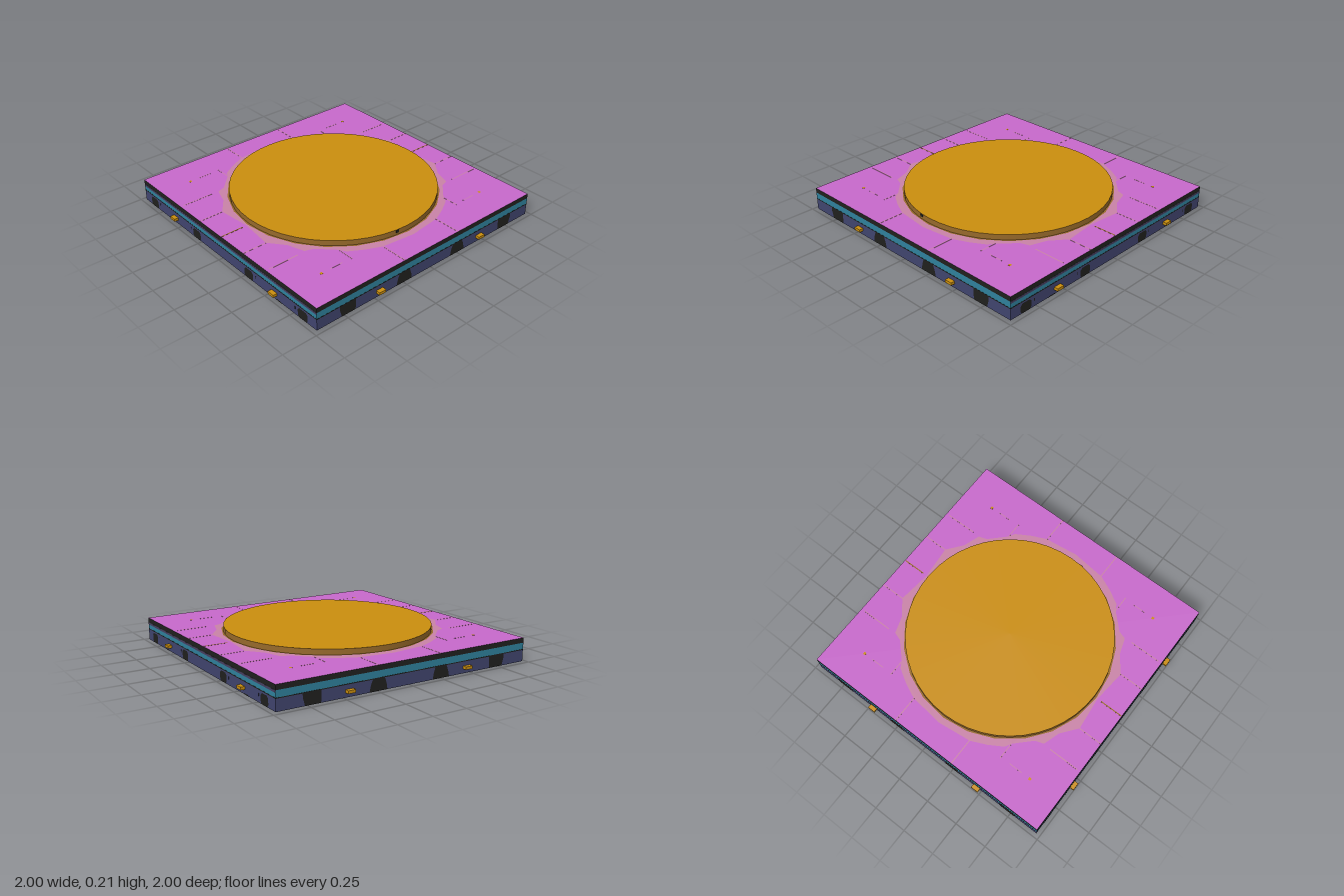
import * as THREE from 'three';

const mat = (name, color) => {
  const m = new THREE.MeshStandardMaterial({ color });
  m.name = name;
  return m;
};

export function createModel() {
  const model = new THREE.Group();
  model.name = 'platform';
  const magenta = mat('magenta', 0xc668ca);
  const gold = mat('gold', 0xc98d0e);
  const brown = mat('brown', 0x96692a);
  const rose = mat('rose', 0xc882a6);
  const navy = mat('navy', 0x40446e);
  const teal = mat('teal', 0x2f819c);
  const black = mat('black', 0x20201e);
  const plum = mat('plum', 0x463f60);

  const H = 0.97; // half width of the slab
  const add = (parent, name, geo, material, x = 0, y = 0, z = 0) => {
    const mesh = new THREE.Mesh(geo, material);
    mesh.name = name;
    mesh.position.set(x, y, z);
    parent.add(mesh);
    return mesh;
  };
  const box = (parent, name, material, w, h, d, x, y, z) =>
    add(parent, name, new THREE.BoxGeometry(w, h, d), material, x, y, z);

  // Stacked square layers, [name, bottom, top, side, upper face, lower face]
  for (const [name, y0, y1, side, up, down] of [
    ['lowerSlab', 0.004, 0.087, navy, navy, magenta],
    ['middleBand', 0.087, 0.135, teal, teal, teal],
    ['topSlab', 0.135, 0.17, black, magenta, black],
  ]) {
    box(model, name, [side, side, up, down, side, side], 2 * H, y1 - y0, 2 * H, 0, (y0 + y1) / 2, 0);
  }

  // Round raised disc with a brown rim
  add(model, 'disc', new THREE.CylinderGeometry(0.74, 0.74, 0.043, 48), [brown, gold, brown], 0, 0.1905, 0);
  box(model, 'discMark', black, 0.025, 0.02, 0.004, -0.085, 0.2, 0.736);

  // Uneven painted halo: points of one quadrant, mirrored around the disc
  const quadrant = [[0.765, 0], [0.79, 0.245], [0.7, 0.36], [0.66, 0.48], [0.6, 0.5], [0.49, 0.61],
    [0.46, 0.66], [0.36, 0.72], [0.25, 0.77], [0, 0.8]];
  const outline = [];
  for (const [sx, sz] of [[1, 1], [-1, 1], [-1, -1], [1, -1]]) {
    const pts = quadrant.map(([x, z]) => new THREE.Vector2(x * sx, z * sz));
    if (sx * sz < 0) pts.reverse();
    outline.push(...pts.slice(0, -1));
  }
  const halo = add(model, 'topHalo', new THREE.ShapeGeometry(new THREE.Shape(outline)), rose, 0, 0.1715, 0);
  halo.rotation.x = -Math.PI / 2;
  const ring = add(model, 'topRing', new THREE.CircleGeometry(0.755, 24), brown, 0, 0.173, 0);
  ring.rotation.x = -Math.PI / 2;

  // Painted hairlines and dots on the top, mirrored to four quarters
  const lines = new THREE.Group();
  lines.name = 'topLines';
  model.add(lines);
  const stroke = (material, w, d, x, z) => {
    for (const sx of [-1, 1]) for (const sz of z ? [-1, 1] : [1]) {
      box(lines, 'line', material, w, 0.001, d, sx * x, 0.1705, sz * z);
    }
  };
  stroke(rose, 0.007, 0.2, 0.245, 0.87);
  stroke(rose, 0.2, 0.007, 0.87, 0.245);
  stroke(rose, 0.23, 0.007, 0.83, 0.485);
  stroke(rose, 0.1, 0.005, 0.61, 0.73);
  stroke(rose, 0.006, 0.16, 0.485, 0.66);
  stroke(brown, 0.17, 0.008, 0.88, 0);
  stroke(gold, 0.018, 0.018, 0.73, 0.73);

  // Underside: painted disc and two black pads
  const underHalo = add(model, 'underHalo', new THREE.CircleGeometry(0.78, 24), rose, 0, 0.003, 0);
  underHalo.rotation.x = Math.PI / 2;
  const underDisc = add(model, 'underDisc', new THREE.CircleGeometry(0.765, 40), brown, 0, 0.0018, 0);
  underDisc.rotation.x = Math.PI / 2;
  for (const s of [-1, 1]) box(model, 'underPad', black, 1.08, 0.003, 0.3, 0, 0.0015, s * 0.26);

  // Dark patch painted on a side wall, as a flat shape facing +z
  const patch = (parent, pts, x, mirror) => {
    const p = pts.map(([a, b]) => new THREE.Vector2(a * mirror, b));
    add(parent, 'darkPatch', new THREE.ShapeGeometry(new THREE.Shape(p)), black, x * mirror, 0, H + 0.0015);
  };
  const wide = [[-0.06, 0.005], [0.05, 0.005], [0.065, 0.06], [0.065, 0.086], [-0.065, 0.086], [-0.065, 0.03]];
  const flared = [[-0.07, 0.005], [0.065, 0.005], [0.055, 0.05], [0.04, 0.086], [-0.05, 0.086], [-0.065, 0.04]];
  const rounded = [[-0.035, 0.005], [0.035, 0.005], [0.046, 0.02], [0.046, 0.06], [0.03, 0.075],
    [-0.03, 0.075], [-0.046, 0.06], [-0.046, 0.02]];
  const small = [[-0.035, 0.004], [0.035, 0.004], [0.02, 0.012], [-0.02, 0.012]];

  // Four walls, each drawn facing +z and then turned into place
  ['front', 'rightWall', 'back', 'leftWall'].forEach((name, i) => {
    const wall = new THREE.Group();
    wall.name = name;
    wall.rotation.y = i * Math.PI / 2;
    model.add(wall);
    const onFront = i % 2 === 0;
    for (const s of [-1, 1]) {
      const [tabX, tabW] = onFront ? [0.462, 0.055] : [0.562, 0.055];
      box(wall, 'tab', gold, tabW, 0.02, 0.06, s * tabX, 0.045, 0.97);
      if (onFront) {
        patch(wall, wide, 0.725, s);
        patch(wall, flared, 0.25, s);
      } else {
        patch(wall, rounded, 0.84, s);
        patch(wall, rounded, 0.297, s);
        patch(wall, small, 0.61, s);
        for (const x of [0.37, 0.767]) box(wall, 'tick', black, 0.005, 0.02, 0.002, s * x, 0.052, H);
      }
    }
    // Thin bands along the wall
    box(wall, 'seam', black, 2 * H, 0.006, 0.002, 0, 0.087, H);
    if (!onFront) box(wall, 'plumBand', plum, 2 * H, 0.015, 0.002, 0, 0.1275, H);
  });

  return model;
}
